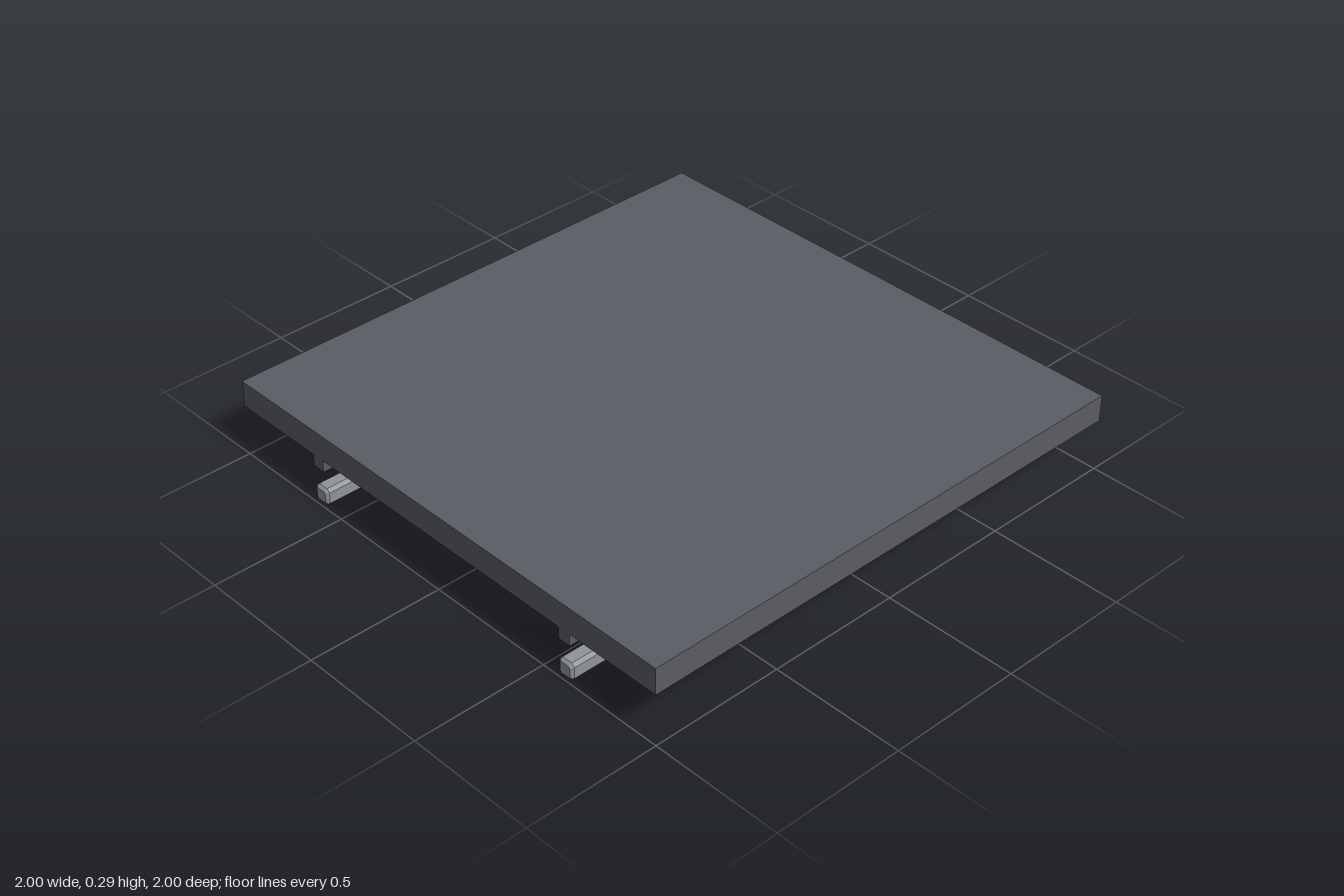
import * as THREE from 'three';

const deckGrey = new THREE.MeshStandardMaterial({ color: 0x5a5d64 });
deckGrey.name = 'deck grey';
const steelGrey = new THREE.MeshStandardMaterial({ color: 0x909399 });
steelGrey.name = 'steel grey';
const housingDark = new THREE.MeshStandardMaterial({ color: 0x35373c });
housingDark.name = 'housing dark';
const lampAmber = new THREE.MeshStandardMaterial({ color: 0xe0ac3c });
lampAmber.name = 'lamp amber';

function add(parent, name, geometry, material, x, y, z) {
  const mesh = new THREE.Mesh(geometry, material);
  mesh.name = name;
  mesh.position.set(x, y, z);
  parent.add(mesh);
  return mesh;
}

const box = (w, h, d) => new THREE.BoxGeometry(w, h, d);

// Square bar running along z with every edge chamfered
function chamferedBar(width, height, length, c) {
  const w = width / 2 - c, h = height / 2 - c;
  const shape = new THREE.Shape();
  const cut = c * 0.6;
  shape.moveTo(-w + cut, -h);
  shape.lineTo(w - cut, -h);
  shape.lineTo(w, -h + cut);
  shape.lineTo(w, h - cut);
  shape.lineTo(w - cut, h);
  shape.lineTo(-w + cut, h);
  shape.lineTo(-w, h - cut);
  shape.lineTo(-w, -h + cut);
  shape.closePath();
  const geometry = new THREE.ExtrudeGeometry(shape, {
    depth: length - 2 * c, bevelEnabled: true,
    bevelSize: c, bevelThickness: c, bevelSegments: 1,
  });
  return geometry.translate(0, 0, c - length / 2);
}

export function createModel() {
  const model = new THREE.Group();
  model.name = 'ceilingTrussPanel';

  // Flat slab on top
  add(model, 'slab', box(2, 0.1, 2), deckGrey, 0, 0.245, 0);

  // Two trusses: upper beam, lower rail and zigzag braces
  for (const z of [-0.6, 0.6]) {
    const truss = new THREE.Group();
    truss.name = z > 0 ? 'frontTruss' : 'backTruss';
    truss.position.z = z;
    model.add(truss);
    add(truss, 'upperBeam', box(2, 0.05, 0.05), deckGrey, 0, 0.175, 0);
    const rail = chamferedBar(0.065, 0.065, 2, 0.01).rotateY(Math.PI / 2);
    add(truss, 'lowerRail', rail, steelGrey, 0, 0.043, 0);
    for (let i = 0; i < 8; i++) {
      const brace = add(truss, 'brace', box(0.022, 0.13, 0.02), steelGrey, -0.875 + i * 0.25, 0.1125, 0);
      brace.rotation.z = i % 2 ? -0.63 : 0.63;
    }
  }

  // Cross bars tying the lower rails together
  for (const x of [-0.8, 0, 0.8]) {
    add(model, 'crossBar', chamferedBar(0.05, 0.052, 1.18, 0.008), steelGrey, x, 0.043, 0);
  }

  // Lamp housing with its light strip underneath
  add(model, 'lampHousing', box(1.3, 0.045, 0.1), housingDark, 0, 0.0375, 0);
  add(model, 'lightStrip', box(1.2, 0.018, 0.07), lampAmber, 0, 0.009, 0);

  return model;
}
